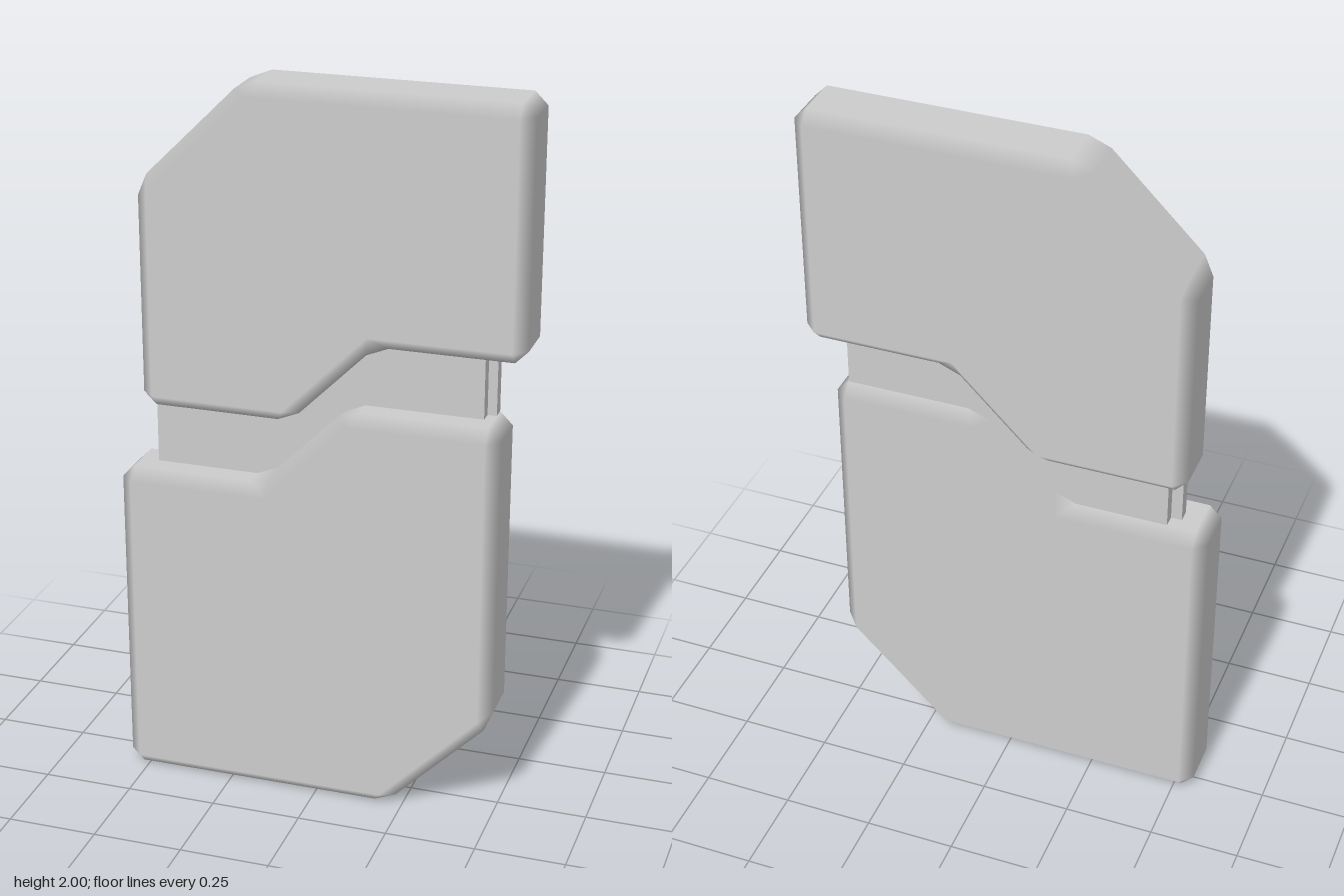
import * as THREE from 'three';

const BEVEL = 0.035;

// Slab from a counter-clockwise outline: flat faces and sides, softly shaded bevels.
function bevelledSlab(corners, z0, z1) {
  const pts = corners.map(([x, y]) => new THREE.Vector2(x, y));
  const n = pts.length;
  const dir = pts.map((p, i) => pts[(i + 1) % n].clone().sub(p).normalize());
  const out = dir.map(d => new THREE.Vector2(d.y, -d.x));
  const position = [], normal = [];

  const vert = (p, z, nx, ny, nz) => ({ p: [p.x, p.y, z], n: [nx, ny, nz] });
  const tri = (...vs) => vs.forEach(v => { position.push(...v.p); normal.push(...v.n); });
  const quad = (a, b, c, d) => { tri(a, b, c); tri(a, c, d); };

  // Mitred inset for the flat faces
  const inset = pts.map((p, i) => {
    const a = out[(i + n - 1) % n], b = out[i];
    return p.clone().addScaledVector(a.clone().add(b), -BEVEL / (1 + a.dot(b)));
  });
  const front = inset.map(p => vert(p, z1, 0, 0, 1));
  const back = inset.map(p => vert(p, z0, 0, 0, -1));
  for (const [a, b, c] of THREE.ShapeUtils.triangulateShape(inset, [])) {
    tri(front[a], front[b], front[c]);
    tri(back[c], back[b], back[a]);
  }

  // Each side wall has a start and an end, pulled back from its corners
  const walls = pts.map((p, i) => {
    const s = p.clone().addScaledVector(dir[i], BEVEL);
    const e = pts[(i + 1) % n].clone().addScaledVector(dir[i], -BEVEL);
    const make = (q, z) => vert(q, z, out[i].x, out[i].y, 0);
    return {
      s0: make(s, z0 + BEVEL), s1: make(s, z1 - BEVEL),
      e0: make(e, z0 + BEVEL), e1: make(e, z1 - BEVEL),
    };
  });
  walls.forEach((w, i) => {
    const j = (i + 1) % n, next = walls[j];
    quad(w.s0, w.e0, w.e1, w.s1);               // wall
    quad(w.s1, w.e1, front[j], front[i]);       // front bevel
    quad(w.e0, w.s0, back[i], back[j]);         // back bevel
    quad(w.e0, next.s0, next.s1, w.e1);         // corner bevel
    tri(w.e1, next.s1, front[j]);               // corner tips
    tri(next.s0, w.e0, back[j]);
  });

  const g = new THREE.BufferGeometry();
  g.setAttribute('position', new THREE.Float32BufferAttribute(position, 3));
  g.setAttribute('normal', new THREE.Float32BufferAttribute(normal, 3));
  return g;
}

// Thin stepped plate following the gap between the slabs
function steppedPlate(x0, x1, z0, depth) {
  const shape = new THREE.Shape([
    [x0, 0.85], [-0.12, 0.85], [0.11, 1.08], [x1, 1.08],
    [x1, 1.4], [0.11, 1.4], [-0.12, 1.16], [x0, 1.16],
  ].map(([x, y]) => new THREE.Vector2(x, y)));
  return new THREE.ExtrudeGeometry(shape, { depth, bevelEnabled: false }).translate(0, 0, z0);
}

export function createModel() {
  const group = new THREE.Group();
  const grey = new THREE.MeshStandardMaterial({ color: 0xcccccc });
  grey.name = 'light grey';
  const add = (name, geometry) => {
    const mesh = new THREE.Mesh(geometry, grey);
    mesh.name = name;
    group.add(mesh);
  };

  // Lower slab, set forward
  add('lowerSlab', bevelledSlab([
    [-0.555, 0], [0.205, 0], [0.5, 0.295], [0.5, 1.155],
    [0.085, 1.155], [-0.15, 0.92], [-0.555, 0.92],
  ], -0.07, 0.122));

  // Upper slab, set back
  add('upperSlab', bevelledSlab([
    [-0.507, 1.085], [-0.09, 1.085], [0.145, 1.32], [0.552, 1.32],
    [0.552, 2], [-0.21, 2], [-0.507, 1.705],
  ], -0.122, 0.07));

  // Two-layer core joining the slabs
  add('coreFront', steppedPlate(-0.47, 0.44, 0, 0.035));
  add('coreBack', steppedPlate(-0.44, 0.465, -0.035, 0.035));
  return group;
}
